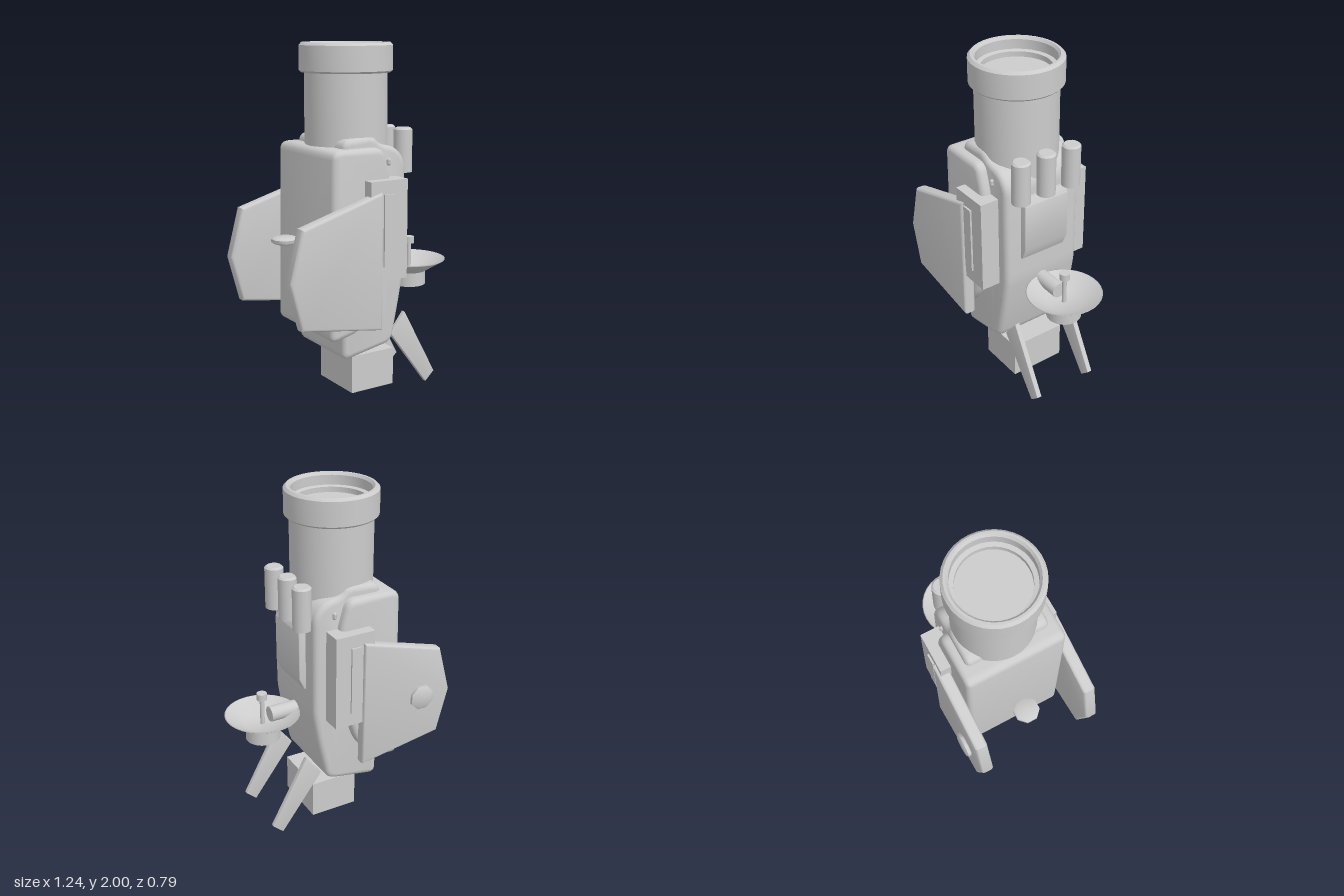
import * as THREE from 'three';
import { toCreasedNormals } from 'three/addons/utils/BufferGeometryUtils.js';
import { RoundedBoxGeometry } from 'three/addons/geometries/RoundedBoxGeometry.js';

const ZC = 0.013; // the hull's middle plane

export function createModel() {
  const root = new THREE.Group();
  const grey = new THREE.MeshStandardMaterial({ color: 0xcccccc });
  grey.name = 'paleGrey';
  const greySheet = new THREE.MeshStandardMaterial({ color: 0xcccccc, side: THREE.DoubleSide });
  greySheet.name = 'paleGreySheet';

  const add = (name, geometry, x = 0, y = 0, z = 0, material = grey) => {
    const mesh = new THREE.Mesh(geometry, material);
    mesh.name = name;
    mesh.position.set(x, y, z);
    root.add(mesh);
    return mesh;
  };
  const cyl = (r, h, sides = 24) => new THREE.CylinderGeometry(r, r, h, sides);

  // Outline in x,y with rounded corners
  const roundedShape = (points, radius) => {
    const v = points.map(([x, y]) => new THREE.Vector2(x, y));
    const shape = new THREE.Shape();
    v.forEach((p, i) => {
      const prev = v[(i + v.length - 1) % v.length], next = v[(i + 1) % v.length];
      const toward = (q) => p.clone().add(q.clone().sub(p).setLength(Math.min(radius, p.distanceTo(q) * 0.45)));
      const a = toward(prev), b = toward(next);
      if (i === 0) shape.moveTo(a.x, a.y); else shape.lineTo(a.x, a.y);
      shape.quadraticCurveTo(p.x, p.y, b.x, b.y);
    });
    shape.closePath();
    return shape;
  };
  // Bevelled slab between two z planes
  const slab = (points, z0, z1, bevel, radius) => {
    const shape = radius ? roundedShape(points, radius) : new THREE.Shape(points.map(([x, y]) => new THREE.Vector2(x, y)));
    const g = new THREE.ExtrudeGeometry(shape, {
      depth: z1 - z0 - 2 * bevel, bevelEnabled: bevel > 0, bevelSize: bevel, bevelThickness: bevel,
      bevelOffset: -bevel, bevelSegments: 3, curveSegments: 4,
    });
    g.translate(0, 0, z0 + bevel);
    return toCreasedNormals(g, 0.6);
  };

  // Hull: wide rear shell and narrower main body
  add('rearShell', slab([[-0.315, 1.445], [0.005, 1.445], [0.055, 1.27], [0.055, 0.9], [0, 0.72],
    [-0.05, 0.56], [-0.15, 0.43], [-0.333, 0.39]], -0.285, 0.315, 0.03, 0.05));
  add('mainBody', slab([[-0.22, 1.49], [-0.02, 1.505], [0.025, 1.455], [0.13, 1.435], [0.19, 1.36],
    [0.193, 0.75], [0.165, 0.58], [0.11, 0.315], [-0.22, 0.255]], -0.235, 0.26, 0.03, 0.05));

  // Barrel with a stepped collar and recessed end
  const profile = [[0, 1.3], [0.232, 1.3], [0.232, 1.838], [0.25, 1.838], [0.26, 1.848], [0.26, 1.985],
    [0.245, 2], [0.232, 2], [0.22, 1.985], [0.22, 1.93], [0.195, 1.925], [0.195, 1.895], [0, 1.895]];
  add('barrel', toCreasedNormals(new THREE.LatheGeometry(profile.map(([r, y]) => new THREE.Vector2(r, y)), 36), 0.6),
    -0.048, 0, ZC);

  // Side mounts, trim plates, wings and studs on both sides
  for (const side of [1, -1]) {
    const at = (d) => ZC + side * d;
    add('sideMount', new THREE.BoxGeometry(0.24, 0.555, 0.16), 0, 0.998, at(0.28));
    add('mountPlate', new THREE.BoxGeometry(0.065, 0.4, 0.02), -0.005, 1, at(0.361));
    add('wing', slab([[-0.05, 1.215], [-0.55, 1.07], [-0.625, 0.79], [-0.555, 0.525], [-0.05, 0.445]],
      at(0.341) - 0.037, at(0.341) + 0.037, 0.018, 0));
    const stud = add('sideStud', new THREE.CapsuleGeometry(0.012, 0.02, 4, 8), 0.07, 1.357, at(0.245));
    stud.scale.z = 1.6;
    // Splayed leg
    add('leg', slab([[0.125, 0.345], [0.22, 0.465], [0.44, 0.06], [0.38, 0.005]],
      0.02 + side * 0.189 - 0.015, 0.02 + side * 0.189 + 0.015, 0.003, 0));
  }

  // Faceted knobs: one on the rear wing, one lying flat behind the hull
  const knobProfile = [[0, -0.017], [0.065, -0.017], [0.076, -0.008], [0.076, 0.008], [0.06, 0.017], [0, 0.019]];
  const knob = new THREE.LatheGeometry(knobProfile.map(([r, y]) => new THREE.Vector2(r, y)), 8);
  knob.rotateY(Math.PI / 8);
  const knobGeometry = toCreasedNormals(knob, 0.9);
  add('wingKnob', knobGeometry, -0.425, 0.795, -0.378).rotation.x = -Math.PI / 2;
  add('rearKnob', knobGeometry, -0.447, 0.935, ZC);

  // Row of three canisters
  for (const z of [-0.153, 0.016, 0.183]) {
    add('canister', cyl(0.053, 0.24, 16), 0.223, 1.4, z);
    add('canisterLid', new THREE.CylinderGeometry(0.042, 0.053, 0.01, 16), 0.223, 1.525, z);
  }

  // Hatch panel
  add('hatch', slab([[0.15, 1.28], [0.205, 1.28], [0.232, 1.24], [0.232, 0.96], [0.2, 0.89], [0.15, 0.89]],
    -0.13, 0.16, 0.004, 0));

  // Dish on its arm, with hub and feed
  add('dishArm', cyl(0.045, 0.2), 0.255, 0.7, ZC).rotation.z = Math.PI / 2;
  add('dish', new THREE.LatheGeometry([[0, 0.645], [0.1, 0.645], [0.21, 0.712], [0.217, 0.718], [0.21, 0.72], [0.1, 0.655], [0, 0.652]]
    .map(([r, y]) => new THREE.Vector2(r, y)), 32), 0.4, 0, ZC, greySheet);
  add('dishHub', new RoundedBoxGeometry(0.1, 0.06, 0.1, 2, 0.01), 0.4, 0.61, ZC);
  add('dishHubDrum', cyl(0.1, 0.085), 0.4, 0.605, ZC);
  add('feedStalk', cyl(0.013, 0.18, 12), 0.4, 0.73, ZC);
  add('feedCap', cyl(0.03, 0.04, 16), 0.4, 0.83, ZC);

  // Block under the hull
  add('baseBlock', new THREE.BoxGeometry(0.285, 0.22, 0.34), 0.022, 0.137, 0.018);

  return root;
}
